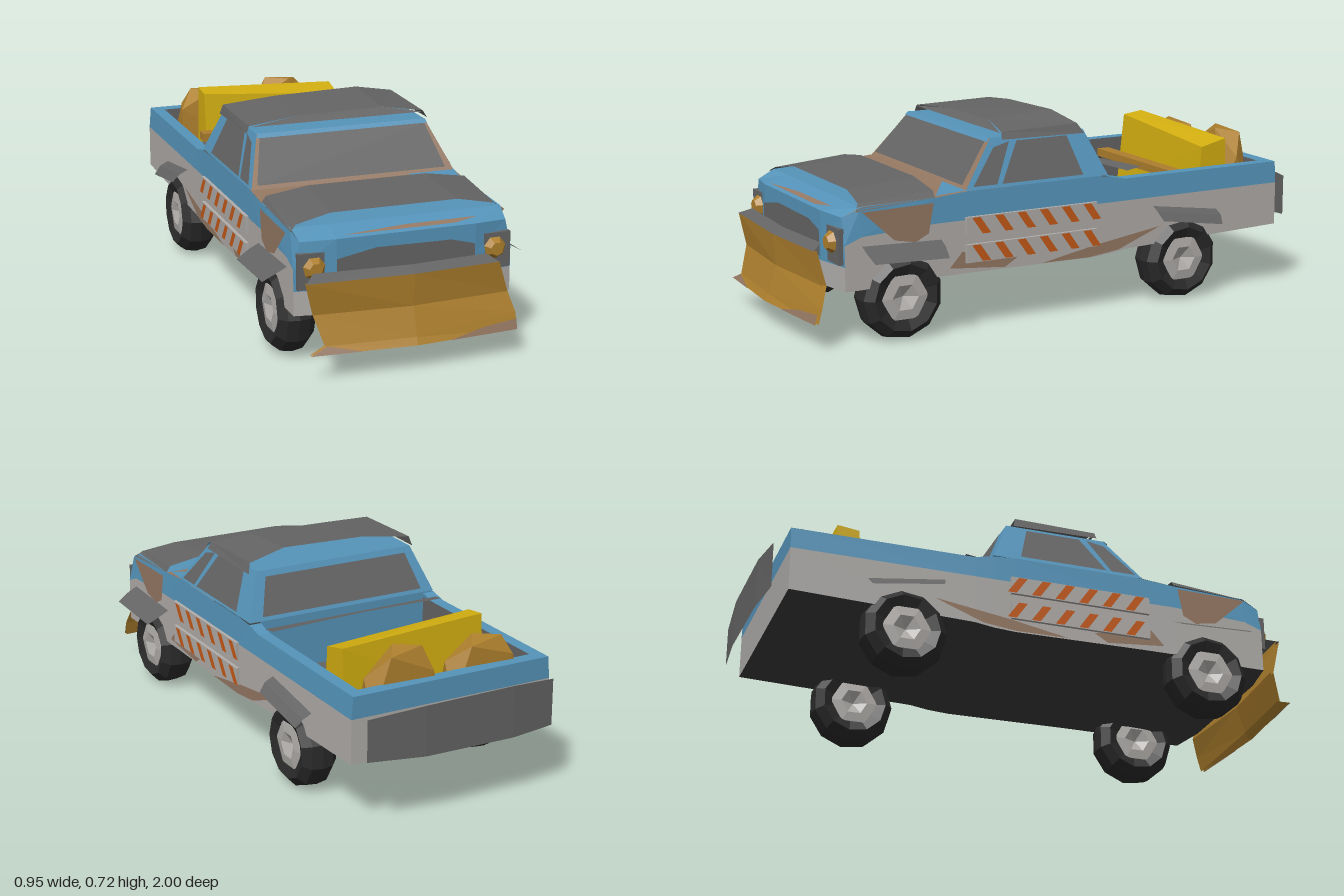
import * as THREE from 'three';
import { ConvexGeometry } from 'three/addons/geometries/ConvexGeometry.js';

const mat = (name, color) => new THREE.MeshStandardMaterial({ name, color, side: THREE.DoubleSide });

// Joins rows of points into a faceted open surface
function sheet(rows) {
  const v = [];
  for (let i = 0; i < rows.length - 1; i++) {
    for (let j = 0; j < rows[i].length - 1; j++) {
      const a = rows[i][j], b = rows[i][j + 1], c = rows[i + 1][j + 1], d = rows[i + 1][j];
      v.push(...a, ...b, ...c, ...a, ...c, ...d);
    }
  }
  return facets(v);
}
// Convex flat panel as a fan
function panel(pts) {
  const v = [];
  for (let i = 1; i < pts.length - 1; i++) v.push(...pts[0], ...pts[i], ...pts[i + 1]);
  return facets(v);
}
function facets(v) {
  const g = new THREE.BufferGeometry();
  g.setAttribute('position', new THREE.Float32BufferAttribute(v, 3));
  g.computeVertexNormals();
  return g;
}
const flat = (g) => { const n = g.index ? g.toNonIndexed() : g; n.computeVertexNormals(); return n; };
const solid = (pts) => flat(new ConvexGeometry(pts.map((p) => new THREE.Vector3(...p))));

export function createModel() {
  const model = new THREE.Group();
  const blue = mat('bluePaint', 0x5594ba), pale = mat('paleGrey', 0xb0adaa), iron = mat('ironGrey', 0x646464);
  const black = mat('tyreBlack', 0x2a2a2a), under = mat('undersideGrey', 0x3c3c3c), gold = mat('ochre', 0xad7f2d);
  const yellow = mat('yellow', 0xd2ae10), rust = mat('rustBrown', 0x957862), orange = mat('orange', 0xc65a18);

  const add = (name, geo, m) => {
    const mesh = new THREE.Mesh(geo, m);
    mesh.name = name;
    model.add(mesh);
    return mesh;
  };
  const box = (name, m, size, pos) => {
    const b = add(name, new THREE.BoxGeometry(...size), m);
    b.position.set(...pos);
    return b;
  };

  // Body stations: z, bottom, paint split, top, top half width
  const stations = [
    [0.865, 0.20, 0.36, 0.455, 0.37], [0.80, 0.20, 0.385, 0.48, 0.38], [0.52, 0.21, 0.40, 0.49, 0.385],
    [0.39, 0.21, 0.40, 0.50, 0.385], [-0.10, 0.205, 0.40, 0.50, 0.385], [-0.18, 0.21, 0.40, 0.495, 0.385],
    [-0.25, 0.22, 0.40, 0.48, 0.385], [-0.92, 0.24, 0.40, 0.48, 0.385],
  ];
  const lowW = 0.392;
  for (const s of [1, -1]) {
    add('lowerSide', sheet([stations.map((p) => [s * lowW, p[1], p[0]]), stations.map((p) => [s * lowW, p[2], p[0]])]), pale);
    add('upperSide', sheet([stations.map((p) => [s * lowW, p[2], p[0]]), stations.map((p) => [s * p[4], p[3], p[0]])]), blue);
    // Bed rail and inner wall
    add('bedRail', sheet([
      [[s * 0.385, 0.495, -0.18], [s * 0.385, 0.48, -0.25], [s * 0.385, 0.48, -0.92]],
      [[s * 0.34, 0.495, -0.18], [s * 0.34, 0.48, -0.25], [s * 0.34, 0.48, -0.87]]]), blue);
    add('bedInnerWall', panel([[s * 0.34, 0.48, -0.18], [s * 0.34, 0.48, -0.87], [s * 0.34, 0.3, -0.87], [s * 0.34, 0.3, -0.18]]), iron);
    box('bedWheelBox', under, [0.03, 0.1, 0.16], [s * 0.325, 0.36, -0.5]);
  }
  add('underside', sheet([stations.map((p) => [-lowW, p[1], p[0]]), stations.map((p) => [lowW, p[1], p[0]])]), under);

  // Nose, bonnet and cowl
  const noseRow = (y, w = lowW, lift = 0) => [[-w, y - lift, 0.865], [-0.25, y, 0.89], [0.25, y, 0.89], [w, y - lift, 0.865]];
  const across = (y, z, w = 0.385) => [-w, -0.25, 0.25, w].map((x) => [x, y, z]);
  add('noseLower', sheet([noseRow(0.2), noseRow(0.285)]), pale);
  add('noseUnderside', panel(noseRow(0.2)), under);
  add('noseUpper', sheet([noseRow(0.285), noseRow(0.36), noseRow(0.46, 0.37, 0.005)]), blue);
  add('bonnet', sheet([noseRow(0.46, 0.37, 0.005), across(0.485, 0.8, 0.38), across(0.49, 0.52)]), blue);
  add('bonnetRust', panel([[-0.23, 0.468, 0.88], [0.18, 0.468, 0.88], [0.27, 0.475, 0.856], [0.0, 0.475, 0.86]]), rust);
  add('cowl', sheet([across(0.49, 0.52), across(0.502, 0.38)]), rust);
  add('cowlPaint', panel([[0.18, 0.504, 0.385], [0.385, 0.504, 0.385], [0.37, 0.493, 0.51]]), blue);

  // Tail and bed
  add('tailLower', panel([[-lowW, 0.24, -0.92], [lowW, 0.24, -0.92], [lowW, 0.4, -0.92], [-lowW, 0.4, -0.92]]), pale);
  add('tailUpper', panel([[-lowW, 0.4, -0.92], [lowW, 0.4, -0.92], [0.385, 0.48, -0.92], [-0.385, 0.48, -0.92]]), blue);
  add('tailRail', panel([[-0.385, 0.48, -0.92], [0.385, 0.48, -0.92], [0.34, 0.48, -0.87], [-0.34, 0.48, -0.87]]), blue);
  add('bedBack', panel([[-0.34, 0.48, -0.87], [0.34, 0.48, -0.87], [0.34, 0.3, -0.87], [-0.34, 0.3, -0.87]]), iron);
  add('bedFloor', panel([[-0.34, 0.3, -0.87], [0.34, 0.3, -0.87], [0.34, 0.3, -0.18], [-0.34, 0.3, -0.18]]), iron);
  add('bedFront', panel([[-0.34, 0.3, -0.18], [0.34, 0.3, -0.18], [0.34, 0.5, -0.18], [-0.34, 0.5, -0.18]]), blue);

  // Cab shell and glass
  const base = [[0.383, 0.5, 0.4], [0.383, 0.5, -0.18], [-0.383, 0.5, -0.18], [-0.383, 0.5, 0.4]];
  const top = [[0.32, 0.665, 0.27], [0.32, 0.665, -0.11], [-0.32, 0.665, -0.11], [-0.32, 0.665, 0.27]];
  add('cabShell', sheet([base, top]), blue);
  add('cabRoof', panel(top), blue);
  add('windshieldFrame', panel([base[3], base[0], top[0], top[3]]), rust);
  add('windshieldTopRail', panel([[-0.325, 0.653, 0.285], [0.325, 0.653, 0.285], [0.32, 0.667, 0.274], [-0.32, 0.667, 0.274]]), blue);
  add('windshield', panel([[-0.36, 0.515, 0.396], [0.35, 0.515, 0.396], [0.312, 0.654, 0.287], [-0.315, 0.654, 0.287]]), iron);
  add('rearWindow', panel([[-0.33, 0.515, -0.179], [0.33, 0.515, -0.179], [0.29, 0.645, -0.124], [-0.29, 0.645, -0.124]]), iron);
  for (const s of [1, -1]) {
    const at = (z, y) => [s * (0.389 - (y - 0.5) * 0.382), y, z];
    add('sideWindow', panel([at(0.255, 0.512), at(-0.075, 0.512), at(-0.035, 0.65), at(0.17, 0.65)]), iron);
    add('quarterWindow', panel([at(0.37, 0.512), at(0.275, 0.512), at(0.2, 0.65), at(0.265, 0.635)]), iron);
  }

  // Bolted armour sheets on bonnet, roof and tail
  add('bonnetArmour', sheet([
    [[-0.385, 0.478, 0.82], [-0.36, 0.495, 0.8], [-0.23, 0.517, 0.78], [0.23, 0.517, 0.78], [0.36, 0.495, 0.8], [0.385, 0.47, 0.82]],
    [[-0.385, 0.495, 0.52], [-0.37, 0.515, 0.52], [-0.22, 0.537, 0.52], [0.22, 0.537, 0.52], [0.37, 0.513, 0.52], [0.385, 0.49, 0.52]]]), iron);
  add('roofArmour', sheet([
    [[-0.345, 0.66, 0.235], [-0.335, 0.685, 0.23], [-0.14, 0.7, 0.2], [0.18, 0.705, 0.2], [0.33, 0.685, 0.23], [0.345, 0.66, 0.235]],
    [[-0.345, 0.655, -0.09], [-0.335, 0.69, -0.08], [-0.14, 0.712, -0.06], [0.18, 0.72, -0.06], [0.33, 0.69, -0.08], [0.345, 0.655, -0.1]]]), iron);
  add('roofArmourFront', panel([[-0.335, 0.682, 0.235], [0.33, 0.682, 0.235], [0.18, 0.705, 0.2], [-0.14, 0.7, 0.2]]), iron);
  add('tailArmour', sheet([
    [[-0.37, 0.25, -0.975], [-0.2, 0.245, -0.995], [0.15, 0.25, -0.998], [0.365, 0.265, -0.978]],
    [[-0.37, 0.42, -0.975], [-0.2, 0.432, -0.992], [0.15, 0.43, -0.995], [0.365, 0.415, -0.978]]]), iron);

  // Grille, headlights and plough
  add('grille', panel([[-0.25, 0.3, 0.895], [0.25, 0.3, 0.895], [0.245, 0.392, 0.895], [0.16, 0.415, 0.895], [-0.11, 0.418, 0.895], [-0.25, 0.392, 0.895]]), iron);
  for (const s of [1, -1]) {
    box('lampHousing', iron, [0.105, 0.125, 0.02], [s * 0.33, 0.355, 0.873]);
    const lamp = add('headlight', flat(new THREE.CylinderGeometry(0.024, 0.042, 0.025, 7)), gold);
    lamp.rotation.x = Math.PI / 2;
    lamp.position.set(s * 0.325, 0.365, 0.893);
  }
  const blade = (dz) => [
    [[-0.375, 0.335, 0.945 + dz], [0.0, 0.335, 0.965 + dz], [0.315, 0.335, 0.945 + dz]],
    [[-0.345, 0.22, 0.93 + dz], [0.0, 0.22, 0.955 + dz], [0.355, 0.22, 0.93 + dz]],
    [[-0.315, 0.12, 0.965 + dz], [0.0, 0.12, 0.987 + dz], [0.375, 0.15, 0.955 + dz]],
    [[-0.37, 0.095, 0.975 + dz], [0.0, 0.095, 1 + dz], [0.375, 0.095, 0.97 + dz]]];
  add('ploughBlade', sheet(blade(0)), gold);
  add('ploughBack', sheet(blade(-0.012)), gold);
  add('ploughTopEdge', sheet([blade(0.001)[0], blade(-0.04)[0].map(([x, y, z]) => [x * 0.9, y + 0.02, z])]), iron);
  add('ploughWear', panel([[-0.37, 0.095, 0.978], [-0.19, 0.095, 0.99], [-0.31, 0.12, 0.969]]), rust);
  add('ploughWear', panel([[0.12, 0.095, 0.994], [0.375, 0.095, 0.973], [0.375, 0.13, 0.963], [0.25, 0.12, 0.976]]), rust);

  // Side details: flares, hazard boards, rust patches
  for (const s of [1, -1]) {
    const flare = (z1, y1, z2, y2, out) => add('wheelFlare', sheet([
      [[s * 0.385, y1 + 0.02, z1], [s * 0.385, y2 + 0.02, z2]],
      [[s * 0.425, y1, z1], [s * 0.425, y2, z2]],
      [[s * out, y1 - 0.03, z1 - 0.01], [s * out, y2 - 0.03, z2 + 0.01]]]), iron);
    flare(0.8, 0.335, 0.5, 0.325, 0.475);
    flare(-0.37, 0.35, -0.65, 0.31, 0.45);
    for (const y of [0.38, 0.282]) {
      box('hazardBoard', pale, [0.012, 0.065, 0.53], [s * 0.404, y, 0.145]);
      for (let i = 0; i < 6; i++) {
        const z = 0.39 - i * 0.09;
        add('hazardStripe', panel([[z, 0.03], [z - 0.033, 0.03], [z - 0.075, -0.03], [z - 0.042, -0.03]]
          .map(([pz, py]) => [s * 0.412, y + py, pz])), orange);
      }
    }
    const patch = (pts) => add('rustPatch', panel(pts.map(([z, y]) => [s * 0.396, y, z])), rust);
    patch([[0.8, 0.47], [0.53, 0.475], [0.55, 0.37], [0.6, 0.345], [0.68, 0.36]]);
    patch([[0.1, 0.21], [-0.1, 0.208], [-0.22, 0.222], [-0.4, 0.29], [-0.12, 0.25]]);
    patch([[0.47, 0.235], [0.25, 0.215], [0.2, 0.245], [0.42, 0.29]]);
  }

  // Wheels
  const tyre = [[0.075, -0.05], [0.12, -0.068], [0.15, -0.04], [0.157, 0], [0.15, 0.04], [0.12, 0.068], [0.075, 0.05]];
  const hub = [[0, -0.035], [0.05, -0.06], [0.09, -0.055], [0.09, 0.055], [0.05, 0.06], [0, 0.035]];
  const lathe = (pts, n) => flat(new THREE.LatheGeometry(pts.map((p) => new THREE.Vector2(...p)), n));
  for (const s of [1, -1]) {
    for (const z of [0.645, -0.5]) {
      for (const [name, geo, m] of [['tyre', lathe(tyre, 11), black], ['hub', lathe(hub, 6), pale]]) {
        const w = add(name, geo, m);
        w.rotation.z = Math.PI / 2;
        w.position.set(s * 0.345, 0.156, z);
      }
    }
  }

  // Cargo
  add('yellowCrate', solid([[-0.24, 0.6, -0.72], [0.32, 0.575, -0.735], [-0.24, 0.59, -0.64], [0.32, 0.55, -0.63],
    [-0.24, 0.31, -0.74], [0.32, 0.31, -0.74], [-0.24, 0.31, -0.61], [0.32, 0.31, -0.61]]), yellow);
  const rock = (x, z, h) => add('rock', solid([[x - 0.135, 0.36, z - 0.06], [x + 0.13, 0.36, z - 0.05], [x + 0.12, 0.36, z + 0.06],
    [x - 0.13, 0.36, z + 0.06], [x - 0.13, 0.5, z + 0.05], [x + 0.13, 0.49, z + 0.01], [x - 0.07, h, z - 0.03],
    [x + 0.06, h - 0.015, z - 0.05], [x + 0.01, h, z + 0.03], [x - 0.1, 0.5, z - 0.06]]), gold);
  rock(-0.165, -0.82, 0.565);
  rock(0.155, -0.825, 0.585);
  box('ochreBeam', gold, [0.55, 0.03, 0.05], [0, 0.44, -0.565]);
  add('crossPlank', panel([[-0.36, 0.495, -0.235], [0.37, 0.515, -0.33], [0.37, 0.505, -0.27], [-0.36, 0.5, -0.275]]), iron);

  return model;
}
